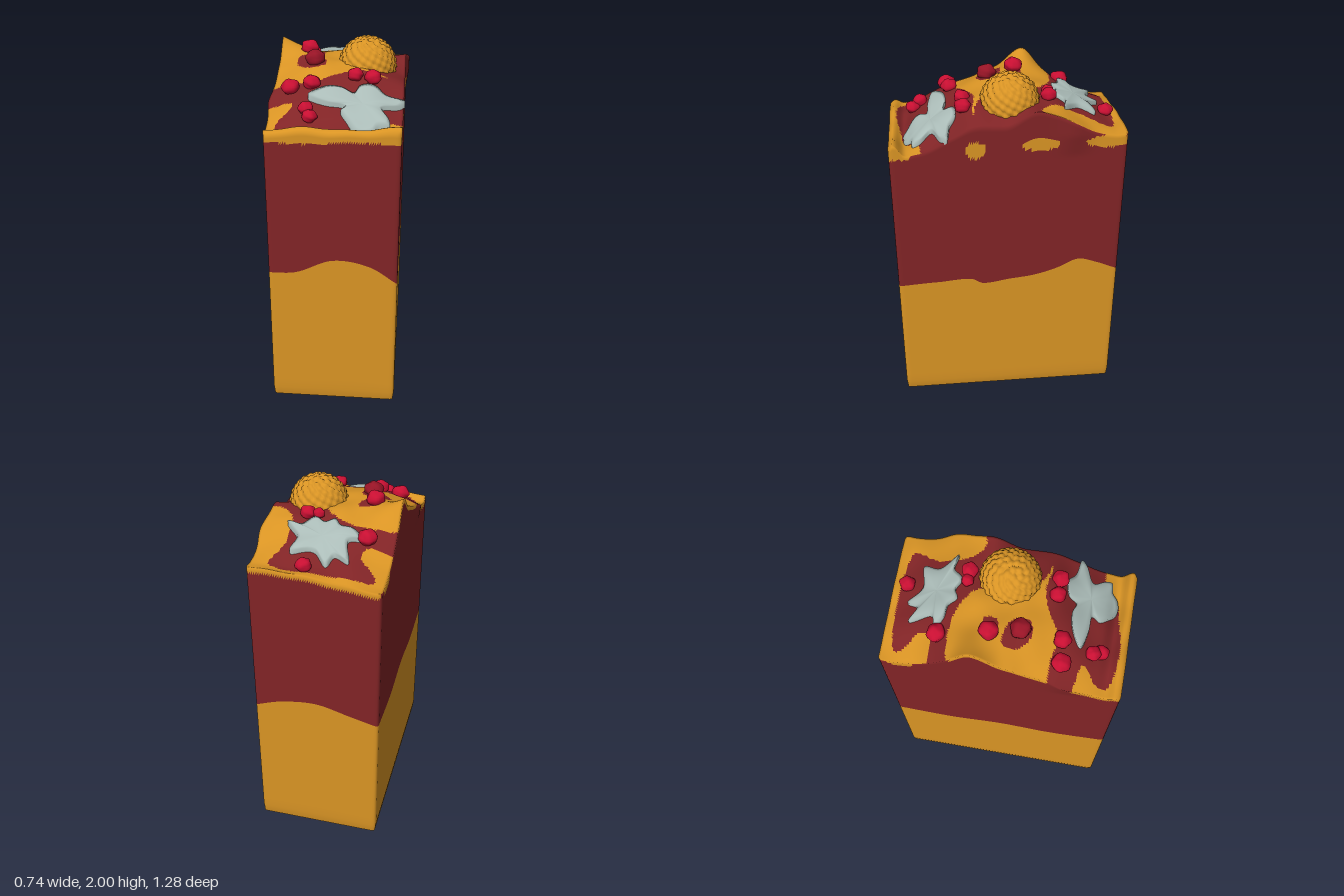
import * as THREE from 'three';
import { mergeVertices } from 'three/addons/utils/BufferGeometryUtils.js';

const W = 0.355, D = 0.64, ROUND = 0.022, SPLIT = 0.25;
const mat = (name, color, extra = {}) =>
  Object.assign(new THREE.MeshStandardMaterial({ color, ...extra }), { name });

// Smooth interpolation of values v placed at ascending positions p
function spline(p, v, x) {
  const n = p.length - 1;
  let i = 0;
  while (i < n - 1 && x > p[i + 1]) i++;
  const t = THREE.MathUtils.clamp((x - p[i]) / (p[i + 1] - p[i]), 0, 1);
  const slope = (k) => {
    const a = Math.max(k - 1, 0), b = Math.min(k + 1, n);
    return (v[b] - v[a]) / (p[b] - p[a]) * (p[i + 1] - p[i]);
  };
  const t2 = t * t, t3 = t2 * t;
  return (2 * t3 - 3 * t2 + 1) * v[i] + (t3 - 2 * t2 + t) * slope(i)
    + (3 * t2 - 2 * t3) * v[i + 1] + (t3 - t2) * slope(i + 1);
}

// Uneven top surface: one row of heights across x for each z
const TOP_X = [-W, -0.18, 0, 0.18, W];
const TOP = [
  [-0.64, 1.66, 1.68, 1.70, 1.72, 1.72],
  [-0.57, 1.66, 1.70, 1.71, 1.71, 1.71],
  [-0.45, 1.68, 1.75, 1.76, 1.76, 1.74],
  [-0.35, 1.75, 1.80, 1.81, 1.80, 1.79],
  [-0.25, 1.84, 1.85, 1.85, 1.84, 1.84],
  [-0.14, 1.96, 1.88, 1.87, 1.85, 1.86],
  [0.00, 1.85, 1.89, 1.87, 1.85, 1.79],
  [0.08, 1.82, 1.87, 1.87, 1.85, 1.78],
  [0.20, 1.77, 1.83, 1.85, 1.84, 1.78],
  [0.30, 1.74, 1.80, 1.80, 1.77, 1.73],
  [0.40, 1.69, 1.75, 1.74, 1.72, 1.68],
  [0.50, 1.65, 1.69, 1.69, 1.67, 1.65],
  [0.56, 1.64, 1.65, 1.64, 1.63, 1.64],
  [0.61, 1.66, 1.68, 1.68, 1.68, 1.70],
  [0.64, 1.64, 1.66, 1.66, 1.66, 1.67],
];
const TOP_Z = TOP.map((r) => r[0]);
function topHeight(x, z) {
  const across = TOP.map((r) => spline(TOP_X, r.slice(1), x));
  return spline(TOP_Z, across, z) + 0.006 * Math.sin(21 * x + 8 * z) * Math.cos(19 * z - 7 * x);
}

// Wavy line on the walls between the two soap layers
function splitHeight(x, z) {
  if (z > D - 1e-4) return spline([-W, -0.2, 0, 0.2, W], [0.84, 0.85, 0.93, 0.9, 0.8], x);
  if (z < -D + 1e-4) return spline([-W, -0.2, 0, 0.2, W], [0.82, 0.86, 0.91, 0.89, 0.84], x);
  if (x > 0) {
    return spline([-D, -0.5, -0.4, -0.28, -0.15, 0, 0.15, 0.22, 0.4, 0.5, D],
      [0.84, 0.9, 0.925, 0.87, 0.83, 0.81, 0.79, 0.825, 0.815, 0.81, 0.8], z);
  }
  return spline([-D, -0.3, 0, 0.3, D], [0.82, 0.8, 0.83, 0.81, 0.84], z);
}

// Dark areas of the top, as closed smooth outlines in x, z
const outline = (pts, n) => new THREE.CatmullRomCurve3(
  pts.map(([x, z]) => new THREE.Vector3(x, 0, z)), true, 'centripetal').getPoints(n);
const DARK = [
  [[-0.3, -0.56], [-0.2, -0.59], [0.2, -0.59], [0.26, -0.56], [0.2, -0.4], [0.22, -0.25], [0.3, -0.18],
    [0.4, -0.18], [0.4, 0.17], [0.25, 0.18], [0.12, 0.12], [0.04, -0.18], [-0.1, -0.27], [-0.3, -0.28],
    [-0.4, -0.26], [-0.4, -0.36], [-0.22, -0.38], [-0.2, -0.45], [-0.27, -0.5]],
  [[-0.4, 0.27], [-0.25, 0.25], [-0.13, 0.27], [0, 0.2], [0.1, 0.17], [0.25, 0.19], [0.4, 0.19], [0.4, 0.45],
    [0.28, 0.48], [0.2, 0.55], [0.05, 0.58], [-0.1, 0.6], [-0.3, 0.56], [-0.3, 0.5], [-0.22, 0.42], [-0.4, 0.36]],
  [[-0.24, 0.0], [-0.1, 0.03], [-0.09, 0.12], [-0.16, 0.14], [-0.24, 0.08]],
  [[-0.23, -0.1], [-0.11, -0.11], [-0.11, -0.05], [-0.2, -0.04]],
].map((p) => outline(p, 90));
function inside(poly, x, z) {
  let hit = false;
  poly.forEach((a, i) => {
    const b = poly[(i + 1) % poly.length];
    if (a.z > z !== b.z > z && x < (b.x - a.x) * (z - a.z) / (b.z - a.z) + a.x) hit = !hit;
  });
  return hit;
}

// True where the block is ochre; b is on the unwarped block, y the real height
function isOchre(b, y) {
  if (b.y > 0.999) return !DARK.some((p) => inside(p, b.x, b.z));
  if (b.y < SPLIT) return true;
  const spot = (z, h, rz, ry) => ((b.z - z) / rz) ** 2 + ((y - h) / ry) ** 2 < 1;
  if (b.z > D - 1e-4) return y > 1.61 + 0.008 * Math.sin(9 * b.x);
  const nearTop = y > topHeight(b.x, b.z) - 0.03;
  if (b.z < -D + 1e-4) return nearTop;
  if (b.x > 0) {
    return spot(0.18, 1.655, 0.055, 0.05) || spot(-0.17, 1.675, 0.105, 0.036)
      || spot(-0.55, 1.68, 0.14, 0.036) || (b.z > 0.53 && y > 1.62);
  }
  return (nearTop && (Math.abs(b.z) < 0.25 || b.z > 0.38)) || spot(-0.53, 1.68, 0.08, 0.06);
}

function blockGeometry() {
  let g = new THREE.BoxGeometry(2 * W, 1, 2 * D, 60, 56, 110).translate(0, 0.5, 0);
  g.deleteAttribute('normal');
  g.deleteAttribute('uv');
  g = mergeVertices(g, 1e-5);
  const p = g.attributes.position, flat = p.clone();
  const v = new THREE.Vector3(), core = new THREE.Vector3();
  for (let i = 0; i < p.count; i++) {
    v.fromBufferAttribute(p, i);
    const top = topHeight(v.x, v.z), mid = splitHeight(v.x, v.z);
    const y = v.y <= SPLIT ? mid * v.y / SPLIT : mid + (top - mid) * (v.y - SPLIT) / (1 - SPLIT);
    // Rounded upright and bottom edges
    core.set(THREE.MathUtils.clamp(v.x, -W + ROUND, W - ROUND), Math.max(y, ROUND),
      THREE.MathUtils.clamp(v.z, -D + ROUND, D - ROUND));
    v.y = y;
    v.sub(core).clampLength(0, ROUND).add(core);
    // Slight overhang at the upper edges
    const up = THREE.MathUtils.clamp((y - 1.6) / 0.12, 0, 1);
    v.x *= 1 + 0.05 * up * Math.exp(-(((v.z - 0.35 * (v.x < 0 ? 1 : -1)) / 0.08) ** 2));
    p.setXYZ(i, v.x, v.y, v.z);
  }
  g.computeVertexNormals();
  // Sort the faces into the two colours
  const parts = [[], []], idx = g.index.array, b = new THREE.Vector3(), c = new THREE.Vector3();
  for (let i = 0; i < idx.length; i += 3) {
    b.set(0, 0, 0);
    let y = 0;
    for (let k = 0; k < 3; k++) {
      b.addScaledVector(c.fromBufferAttribute(flat, idx[i + k]), 1 / 3);
      y += p.getY(idx[i + k]) / 3;
    }
    parts[isOchre(b, y) ? 0 : 1].push(idx[i], idx[i + 1], idx[i + 2]);
  }
  g.setIndex([...parts[0], ...parts[1]]);
  g.clearGroups();
  g.addGroup(0, parts[0].length, 0);
  g.addGroup(parts[0].length, parts[1].length, 1);
  return g;
}

// Leaf draped over the top: rings from the centre to the outline, then a turned-down rim
function leafGeometry(cx, cz, pts) {
  const edge = outline(pts, 96), n = 96, rings = 8, pos = [], index = [];
  for (let r = 0; r <= rings + 1; r++) {
    for (let j = 0; j < n; j++) {
      const t = Math.min(r / rings, 1), e = edge[j];
      const x = cx + (e.x - cx) * t, z = cz + (e.z - cz) * t;
      const reach = Math.hypot(e.x - cx, e.z - cz);
      const lift = r > rings ? -0.01 : 0.03 + 0.09 * (reach - 0.1) * t * (1.4 - t) - 0.008 * t ** 4;
      pos.push(x, topHeight(THREE.MathUtils.clamp(x, -W, W), z) + lift, z);
      if (r > rings) continue;
      const a = r * n + j, b = r * n + (j + 1) % n;
      index.push(a, b, a + n, b, b + n, a + n);
    }
  }
  const g = new THREE.BufferGeometry();
  g.setAttribute('position', new THREE.Float32BufferAttribute(pos, 3));
  // Outlines may run either way round, so face the leaf upward
  const turn = edge.reduce((s, e, i) => {
    const f = edge[(i + 1) % edge.length];
    return s + e.x * f.z - f.x * e.z;
  }, 0);
  if (turn < 0) index.reverse();
  g.setIndex(index.reverse());
  g.computeVertexNormals();
  return g;
}

// Sphere with each vertex moved along its direction by a rule
function lumpySphere(seg, radius) {
  const g = new THREE.SphereGeometry(1, seg, seg / 2), p = g.attributes.position, v = new THREE.Vector3();
  for (let i = 0; i < p.count; i++) {
    v.fromBufferAttribute(p, i);
    v.multiplyScalar(radius(v));
    p.setXYZ(i, v.x, v.y, v.z);
  }
  g.deleteAttribute('uv');
  g.deleteAttribute('normal');
  const m = mergeVertices(g, 1e-5);
  m.computeVertexNormals();
  return m;
}

export function createModel() {
  const ochre = mat('ochre', 0xd99424), maroon = mat('maroon', 0x812426);
  const red = mat('berry red', 0xc80f32), darkRed = mat('dark berry red', 0x981426);
  const sage = mat('sage grey', 0xabbcb8, { side: THREE.DoubleSide });
  const model = new THREE.Group();
  const add = (name, geo, material, x = 0, y = 0, z = 0) => {
    const m = new THREE.Mesh(geo, material);
    m.name = name;
    m.position.set(x, y, z);
    model.add(m);
    return m;
  };
  add('soapBlock', blockGeometry(), [ochre, maroon]);

  // Round flower head covered in small knobs
  const knobs = Array.from({ length: 230 }, (_, i) => {
    const y = 1 - 2 * (i + 0.5) / 230, a = i * 2.39996, r = Math.sqrt(1 - y * y);
    return new THREE.Vector3(r * Math.cos(a), y, r * Math.sin(a));
  });
  const dome = lumpySphere(96, (v) => {
    const d = Math.min(...knobs.map((k) => k.distanceToSquared(v)));
    return 0.153 + 0.014 * Math.max(0, 1 - d / 0.02);
  });
  add('flowerHead', dome, ochre, 0.14, 1.834, -0.022);

  // Two draped leaves
  add('frontLeaf', leafGeometry(0.14, 0.41, [[-0.15, 0.39], [-0.08, 0.34], [0.02, 0.32], [0.09, 0.335],
    [0.12, 0.29], [0.2, 0.275], [0.26, 0.31], [0.36, 0.33], [0.34, 0.36], [0.24, 0.41], [0.28, 0.47],
    [0.285, 0.51], [0.23, 0.52], [0.2, 0.55], [0.13, 0.56], [0.07, 0.52], [0.03, 0.47], [0.05, 0.43],
    [-0.05, 0.42]]), sage);
  add('backLeaf', leafGeometry(0.02, -0.39, [[-0.18, -0.36], [-0.12, -0.39], [-0.15, -0.51], [-0.07, -0.48],
    [-0.04, -0.54], [0.04, -0.47], [0.165, -0.49], [0.15, -0.4], [0.23, -0.31], [0.15, -0.32],
    [0.09, -0.265], [0.03, -0.29], [-0.02, -0.27], [-0.06, -0.31], [-0.13, -0.32]]), sage);

  // Scattered berries: x, z, radius
  const berry = lumpySphere(24, (v) => 1 + 0.07 * Math.sin(4 * v.x + 1) * Math.sin(5 * v.z) + 0.05 * Math.sin(6 * v.y + 3 * v.x));
  [[0.07, -0.565, 0.042], [-0.21, -0.345, 0.05], [0.14, -0.235, 0.042], [0.08, -0.235, 0.032],
    [-0.19, -0.075, 0.05], [-0.145, 0.08, 0.053], [-0.255, 0.305, 0.05], [-0.14, 0.295, 0.046],
    [0.09, 0.235, 0.042], [0.185, 0.235, 0.045], [-0.155, 0.46, 0.04], [-0.13, 0.505, 0.04],
  ].forEach(([x, z, r], i) => {
    const m = add('berry' + (i + 1), berry, i === 5 ? darkRed : red, x, topHeight(x, z) + 0.02, z);
    m.scale.set(r, r * 0.85, r);
    m.rotation.y = i * 1.7;
  });
  return model;
}
